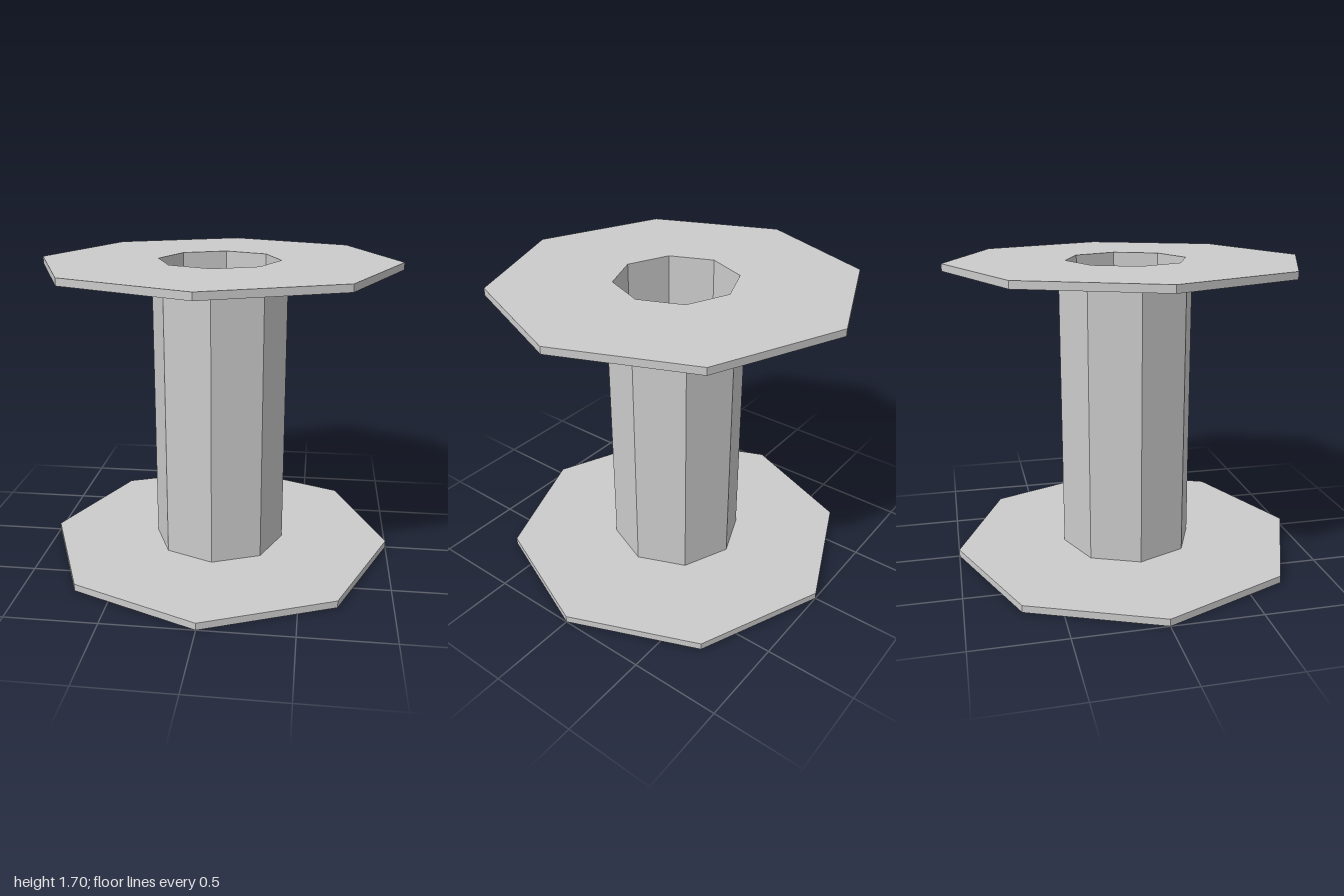
import * as THREE from 'three';

const SIDES = 8;
const HEIGHT = 1.7;
const THICK = 0.04;
const RIM = 1;
const CORE = 0.38;
const BORE = 0.34;

export function createModel() {
  const group = new THREE.Group();
  group.name = 'spool';
  const material = new THREE.MeshStandardMaterial({ color: 0xcccccc, flatShading: true });

  // Turns a [radius, y] profile into a faceted eight-sided part
  function addTurned(name, profile) {
    const points = profile.map(([r, y]) => new THREE.Vector2(r, y));
    const geometry = new THREE.LatheGeometry(points, SIDES).toNonIndexed();
    geometry.computeVertexNormals();
    const mesh = new THREE.Mesh(geometry, material);
    mesh.name = name;
    group.add(mesh);
  }

  // Flanges: thin octagonal plates, open where they meet the core and bore
  addTurned('bottomFlange', [[BORE, 0], [RIM, 0], [RIM, THICK], [CORE, THICK]]);
  addTurned('topFlange', [[CORE, HEIGHT - THICK], [RIM, HEIGHT - THICK], [RIM, HEIGHT], [BORE, HEIGHT]]);

  // Core: outer wall between the flanges
  addTurned('core', [[CORE, THICK], [CORE, HEIGHT - THICK]]);

  // Bore: inner wall running right through, facing the axis
  addTurned('bore', [[BORE, HEIGHT], [BORE, 0]]);

  return group;
}
